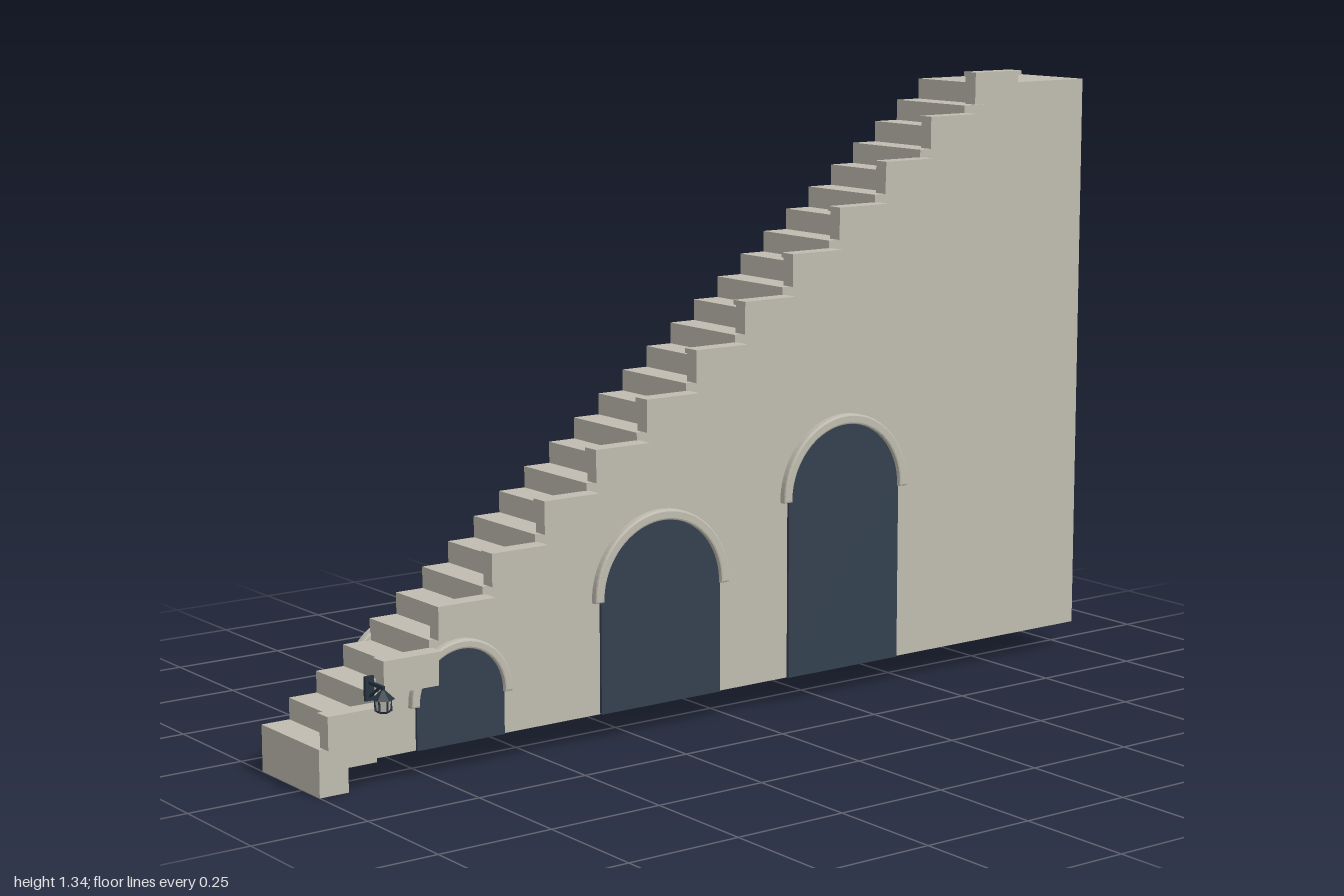
import * as THREE from 'three';

const stone = new THREE.MeshStandardMaterial({ color: 0xc0bcb0 });
stone.name = 'stone';
const opening = new THREE.MeshStandardMaterial({ color: 0x344050 });
opening.name = 'dark opening';
const iron = new THREE.MeshStandardMaterial({ color: 0x263340 });
iron.name = 'dark iron';

const FRONT = 0.068, BACK = -0.16, BASE = 0.058;
const STEPS = 28, TREAD = 0.0633, RISE = 0.0451, TOP = 1.315;

function add(parent, name, geometry, material, x = 0, y = 0, z = 0) {
  const mesh = new THREE.Mesh(geometry, material);
  mesh.name = name;
  mesh.position.set(x, y, z);
  parent.add(mesh);
  return mesh;
}

function box(parent, name, material, x0, x1, y0, y1, z0, z1) {
  return add(parent, name, new THREE.BoxGeometry(x1 - x0, y1 - y0, z1 - z0), material,
    (x0 + x1) / 2, (y0 + y1) / 2, (z0 + z1) / 2);
}

// Stepped side profile pulled through the width of the stair
function stairBody() {
  const s = new THREE.Shape();
  s.moveTo(-1, 0);
  s.lineTo(-0.935, 0);
  s.lineTo(-0.935, 0.05);
  s.lineTo(-0.87, 0.05);
  s.lineTo(-0.87, BASE);
  s.lineTo(1, BASE);
  s.lineTo(1, TOP);
  for (let i = STEPS - 1; i >= 0; i--) {
    const x = -1 + i * TREAD, y = TOP - (STEPS - 1 - i) * RISE;
    s.lineTo(x, y);
    if (i > 0) s.lineTo(x, y - RISE);
  }
  s.closePath();
  return new THREE.ExtrudeGeometry(s, { depth: FRONT - BACK, bevelEnabled: false });
}

// Dark arched infill, a thin plate standing just proud of the wall
function archPanel(r, spring) {
  const s = new THREE.Shape();
  s.moveTo(-r, BASE);
  s.lineTo(r, BASE);
  s.lineTo(r, spring);
  s.absarc(0, spring, r, 0, Math.PI, false);
  s.closePath();
  return new THREE.ExtrudeGeometry(s, { depth: 0.006, bevelEnabled: false, curveSegments: 16 });
}

// Half ring with softened outer edges
function archMoulding(r, outer) {
  const b = 0.004;
  const s = new THREE.Shape();
  s.absarc(0, 0, outer - b, 0, Math.PI, false);
  s.absarc(0, 0, r - 0.003 + b, Math.PI, 0, true);
  s.closePath();
  return new THREE.ExtrudeGeometry(s, {
    depth: 0.012, curveSegments: 20, bevelThickness: b, bevelSize: b, bevelSegments: 2,
  });
}

function archSide(x, r, spring, outer) {
  const g = new THREE.Group();
  add(g, 'archOpening', archPanel(r, spring), opening);
  add(g, 'archMoulding', archMoulding(r, outer), stone, 0, spring, 0);
  g.position.x = x;
  return g;
}

function wallLantern() {
  const g = new THREE.Group();
  g.name = 'wallLantern';
  box(g, 'wallPlate', iron, -0.01, 0.01, 0.188, 0.237, 0.098, 0.105);
  box(g, 'bracketArm', iron, -0.003, 0.003, 0.221, 0.228, 0.104, 0.157);
  const brace = box(g, 'bracketBrace', iron, -0.0025, 0.0025, 0.207, 0.211, 0.1, 0.144);
  brace.rotation.x = -0.6;
  // Six-sided lamp with a pitched roof
  const z = 0.154, hex = (a, b, h) => new THREE.CylinderGeometry(a, b, h, 6).toNonIndexed();
  const parts = [
    ['lanternFinial', 0.004, 0.004, 0.008, 0.222, iron],
    ['lanternRoof', 0.004, 0.023, 0.018, 0.211, iron],
    ['lanternGlass', 0.017, 0.013, 0.022, 0.191, stone],
    ['lanternBase', 0.015, 0.013, 0.004, 0.178, iron],
  ];
  for (const [name, a, b, h, y, mat] of parts) {
    const geo = hex(a, b, h);
    geo.computeVertexNormals();
    add(g, name, geo, mat, 0, y, z);
  }
  // Corner bars
  for (let i = 0; i < 6; i++) {
    const a = i * Math.PI / 3;
    add(g, 'lanternBar', new THREE.BoxGeometry(0.003, 0.024, 0.003), iron,
      Math.sin(a) * 0.0152, 0.19, z + Math.cos(a) * 0.0152);
  }
  g.position.x = -0.905;
  return g;
}

export function createModel() {
  const model = new THREE.Group();
  model.name = 'archedStaircase';

  add(model, 'stairBody', stairBody(), stone, 0, 0, BACK);

  // Stepped parapet: one capped block for every two treads
  for (let k = 0; k < 14; k++) {
    const x = -1 + k * 2 * TREAD, y = 0.101 + k * 2 * RISE;
    box(model, 'parapetBlock', stone, x + 0.004, x + 0.13, y, y + 0.06, FRONT - 0.002, 0.098);
    box(model, 'parapetCap', stone, x, x + 0.134, y + 0.06, y + 0.07, FRONT - 0.004, 0.104);
  }

  // Arches on both faces: x, radius, spring height, moulding radius
  const arches = [
    [-0.678, 0.103, 0.152, 0.119],
    [-0.183, 0.153, 0.3, 0.172],
    [0.308, 0.153, 0.449, 0.172],
  ];
  for (const [x, r, spring, outer] of arches) {
    const front = archSide(x, r, spring, outer);
    front.name = 'frontArch';
    front.position.z = FRONT;
    const back = archSide(x, r, spring, outer);
    back.name = 'backArch';
    back.position.z = BACK;
    back.rotation.y = Math.PI;
    model.add(front, back);
  }

  model.add(wallLantern());
  return model;
}
